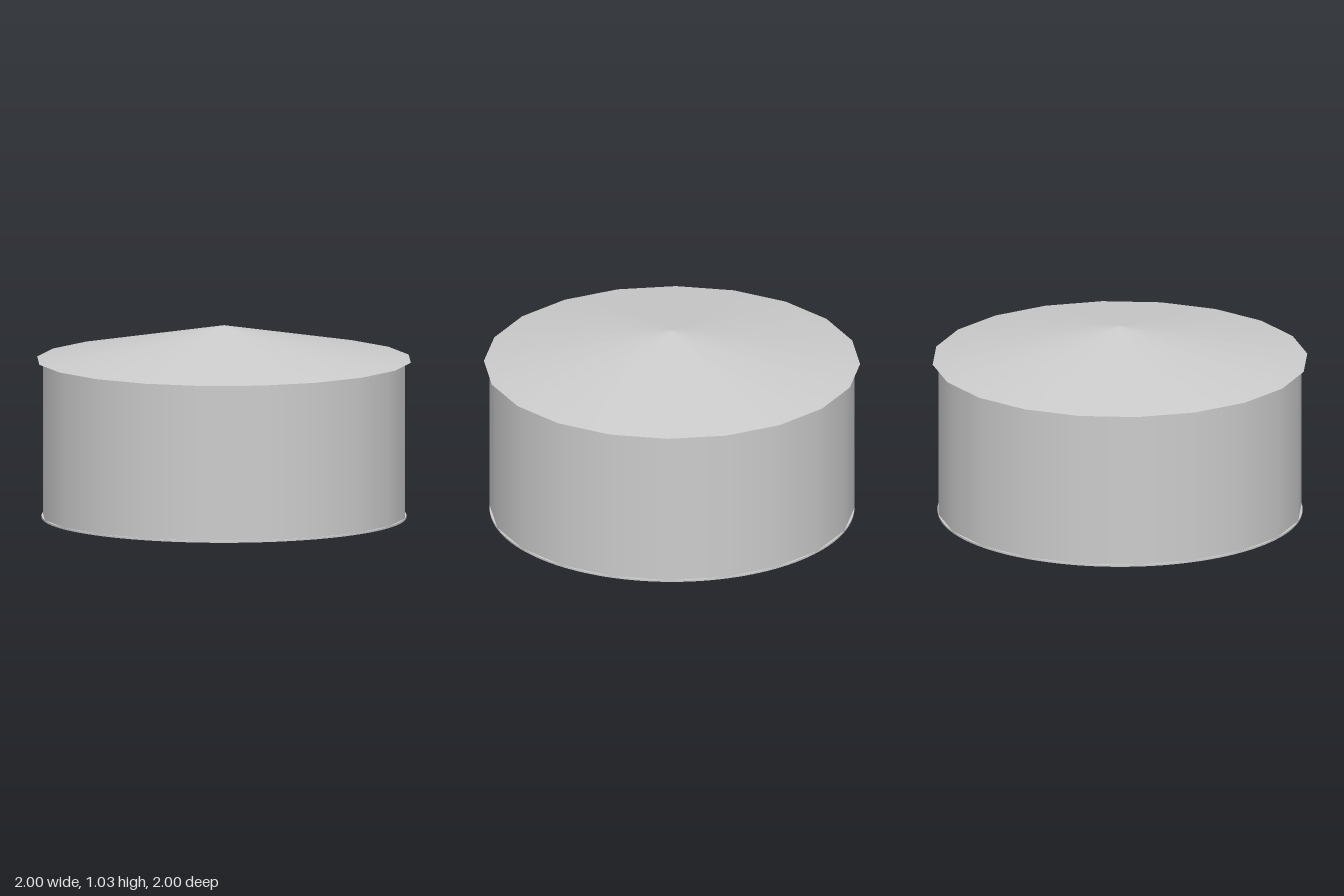
import * as THREE from 'three';

const SIDES = 20, EAVES = 0.845, TOP = 1.03;
const WALL_R = 0.97, ROOF_R = 1, HOLE_R = 0.53, BASE_H = 0.01;

export function createModel() {
  const group = new THREE.Group();
  const material = new THREE.MeshStandardMaterial({ color: 0xcccccc });
  const add = (name, geometry, y) => {
    const mesh = new THREE.Mesh(geometry, material);
    mesh.name = name;
    mesh.position.y = y;
    group.add(mesh);
    return mesh;
  };

  // Shallow cone with a flat underside overhanging the wall
  add('roof', new THREE.ConeGeometry(ROOF_R, TOP - EAVES, SIDES), (TOP + EAVES) / 2);

  // Outer wall, smooth shaded
  const wallH = EAVES - BASE_H;
  add('outerWall', new THREE.CylinderGeometry(WALL_R, WALL_R, wallH, SIDES, 1, true), BASE_H + wallH / 2);

  // Thin round base plate with a central opening
  const ring = new THREE.Shape().absarc(0, 0, WALL_R, 0, Math.PI * 2);
  ring.holes.push(new THREE.Path().absarc(0, 0, HOLE_R, 0, Math.PI * 2, true));
  const base = new THREE.ExtrudeGeometry(ring, { depth: BASE_H, bevelEnabled: false, curveSegments: 64 });
  base.rotateX(-Math.PI / 2);
  add('basePlate', base, 0);

  // Bore running from the opening up to the roof, facing inwards
  const bore = new THREE.LatheGeometry([new THREE.Vector2(HOLE_R, EAVES), new THREE.Vector2(HOLE_R, 0)], 64);
  add('innerBore', bore, 0);

  return group;
}
